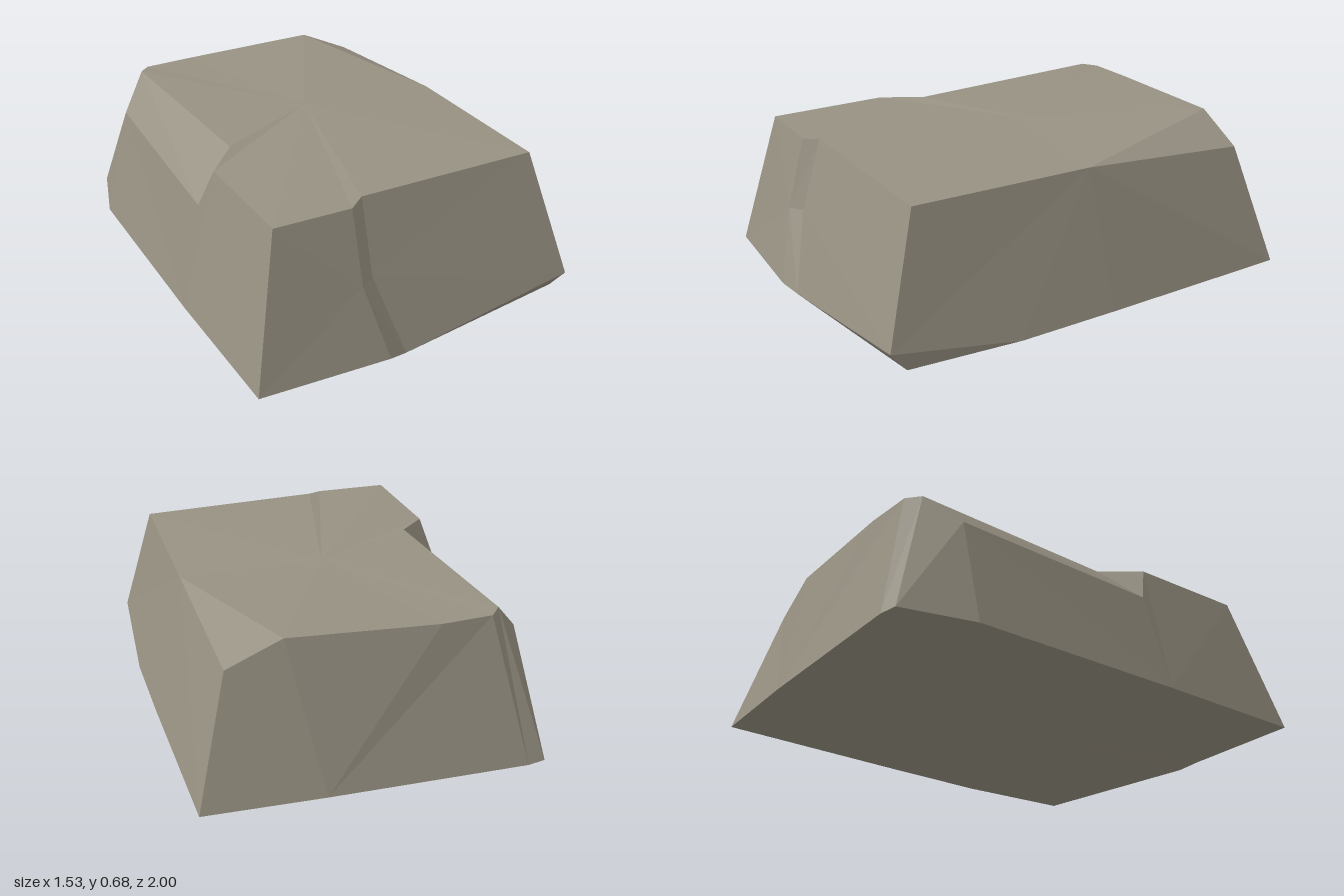
import * as THREE from 'three';

// Corner points of the boulder, named by where they sit
const P = {
  // top rim
  topFL: [-0.615, 0.635, 0.83], topF1: [-0.28, 0.635, 0.83], topF2: [-0.21, 0.645, 0.78],
  topFR: [0.61, 0.635, 0.75], topR: [0.62, 0.632, -0.05], topBR: [0.61, 0.57, -0.83],
  topB1: [0.38, 0.675, -0.84], topB2: [-0.25, 0.655, -0.86], topB3: [-0.47, 0.655, -0.845],
  topBL: [-0.52, 0.66, -0.79], topL: [-0.48, 0.65, 0.15], topL2: [-0.62, 0.635, 0.3],
  topMid: [0, 0.652, -0.1],
  // chipped left edge and front crease
  chipF: [-0.67, 0.465, 0.24], chipB: [-0.65, 0.515, -0.68],
  crease1: [-0.275, 0.33, 0.915], crease2: [-0.21, 0.335, 0.875],
  // bottom rim
  lowFL: [-0.755, 0.01, 0.975], lowF1: [-0.19, 0.02, 1.0], lowF2: [-0.1, 0, 0.97],
  chamfer: [0.73, 0.105, 0.915], lowFR: [0.715, 0.008, 0.84],
  lowR1: [0.765, 0.018, 0.35], lowR2: [0.765, 0.025, -0.1], lowBR: [0.755, 0.04, -0.97],
  lowB1: [0.25, 0.04, -0.99], lowB2: [-0.6, 0.035, -1.0], lowBL: [-0.68, 0.035, -0.985],
  lowL1: [-0.77, 0.025, -0.68], lowL2: [-0.77, 0.015, 0.28],
  lowMid: [0, 0.02, 0],
};

// Each facet is fanned from its first point
const sides = {
  frontLeftFace: ['crease1 topF1 topFL lowFL lowF1'],
  frontCrease: ['crease1 crease2 topF2 topF1', 'crease1 lowF1 lowF2 crease2'],
  frontRightFace: ['crease2 lowF2 chamfer topFR topF2'],
  lowerChamfer: ['lowF2 lowFR chamfer', 'chamfer lowFR lowR1'],
  leftSide: ['topR topFR chamfer lowR1 lowR2 lowBR topBR'],
  backFace: ['lowB1 lowB2 topB3 topB2 topB1 topBR lowBR'],
  backCorner: ['lowB2 lowBL topBL topB3', 'lowBL lowL1 chipB topBL'],
  rightSide: ['lowL2 lowFL topFL topL2 chipF chipB lowL1'],
  chippedEdge: ['chipF topL topBL chipB', 'chipF topL2 topL'],
  topFace: [
    'topMid topFL topF1 topF2 topFR topR topB1 topB2 topB3 topBL topL topL2 topFL',
    'topR topBR topB1',
  ],
  underside: [
    'lowMid lowFL lowF1 lowF2 lowFR lowR1 lowR2 lowBR lowB1 lowB2 lowBL lowL1 lowL2 lowFL',
  ],
};

const core = new THREE.Vector3(0, 0.3, 0);

// Flat facets, with every triangle wound to face away from the core
function facets(polygons) {
  const out = [];
  for (const polygon of polygons) {
    const pts = polygon.split(' ').map((n) => new THREE.Vector3(...P[n]));
    for (let i = 1; i < pts.length - 1; i++) {
      const tri = new THREE.Triangle(pts[0], pts[i], pts[i + 1]);
      const normal = tri.getNormal(new THREE.Vector3());
      const outward = tri.getMidpoint(new THREE.Vector3()).sub(core);
      const order = normal.dot(outward) > 0 ? [tri.a, tri.b, tri.c] : [tri.a, tri.c, tri.b];
      order.forEach((v) => out.push(v.x, v.y, v.z));
    }
  }
  const geometry = new THREE.BufferGeometry();
  geometry.setAttribute('position', new THREE.Float32BufferAttribute(out, 3));
  geometry.computeVertexNormals();
  return geometry;
}

export function createModel() {
  const stone = new THREE.MeshStandardMaterial({ color: 0x979182 });
  stone.name = 'stone';
  stone.flatShading = true;

  const boulder = new THREE.Group();
  boulder.name = 'boulder';
  for (const [name, polygons] of Object.entries(sides)) {
    const mesh = new THREE.Mesh(facets(polygons), stone);
    mesh.name = name;
    boulder.add(mesh);
  }
  return boulder;
}
